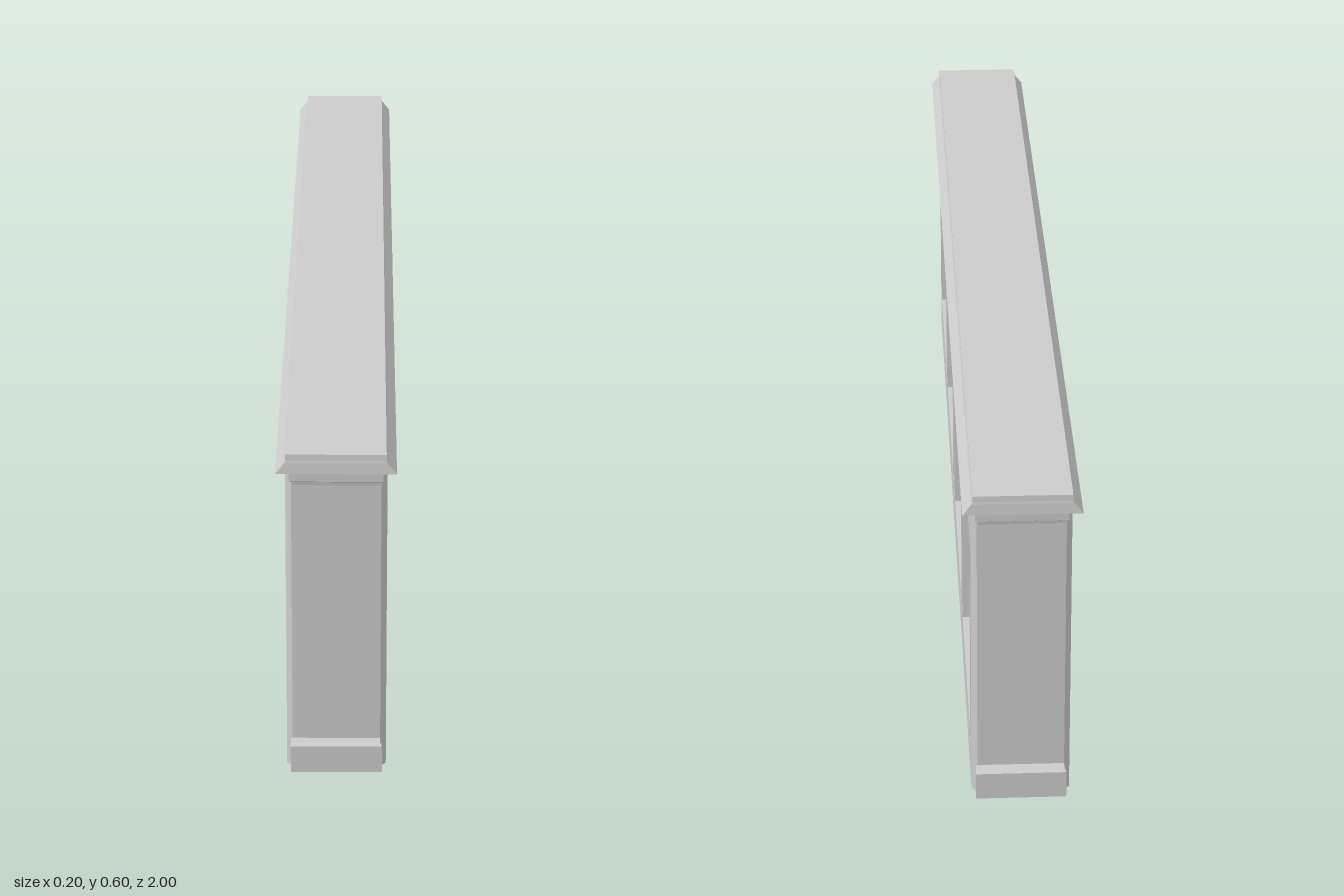
import * as THREE from 'three';

const H = 0.567;        // body height below the cornice
const FACE = 0.085;     // half thickness of the body
const RECESS = 0.026;   // depth of the panels
const GROOVE = 0.005;   // depth of the stile grooves
const SKIN_Z = 0.953;   // half length of the panelled faces
const BODY_Z = 0.965;   // half length of the body

const material = new THREE.MeshStandardMaterial({ color: 0xcccccc, flatShading: true });

function add(parent, name, geometry) {
  const mesh = new THREE.Mesh(geometry, material);
  mesh.name = name;
  parent.add(mesh);
  return mesh;
}

// Rectangle centred on u, from y0 to y1
function rectangle(u, width, y0, y1, Type = THREE.Path) {
  const a = u - width / 2, b = u + width / 2;
  const path = new Type();
  path.moveTo(a, y0);
  path.lineTo(b, y0);
  path.lineTo(b, y1);
  path.lineTo(a, y1);
  path.closePath();
  return path;
}

// Stacked rectangles [y, halfX, halfZ] joined into a closed solid
function stackedRectangles(levels) {
  const positions = [];
  const ring = ([y, x, z]) => [[-x, y, z], [x, y, z], [x, y, -z], [-x, y, -z]];
  const quad = (a, b, c, d) => positions.push(...a, ...b, ...c, ...a, ...c, ...d);
  for (let i = 0; i < levels.length - 1; i++) {
    const low = ring(levels[i]), high = ring(levels[i + 1]);
    for (let k = 0; k < 4; k++) {
      const n = (k + 1) % 4;
      quad(low[k], low[n], high[n], high[k]);
    }
  }
  const bottom = ring(levels[0]), top = ring(levels[levels.length - 1]);
  quad(bottom[3], bottom[2], bottom[1], bottom[0]);
  quad(top[0], top[1], top[2], top[3]);
  const geometry = new THREE.BufferGeometry();
  geometry.setAttribute('position', new THREE.Float32BufferAttribute(positions, 3));
  geometry.computeVertexNormals();
  return geometry;
}

// One layer of a long face, with openings cut through it
function faceLayer(openings, depth) {
  const shape = rectangle(0, SKIN_Z * 2, 0, H, THREE.Shape);
  shape.holes.push(...openings);
  return new THREE.ExtrudeGeometry(shape, { depth, bevelEnabled: false });
}

export function createModel() {
  const model = new THREE.Group();
  model.name = 'panelledCounter';

  // Solid core, whose sides are the backs of the panels
  const core = add(model, 'core',
    new THREE.BoxGeometry((FACE - RECESS) * 2, H, SKIN_Z * 2));
  core.position.y = H / 2;

  // Long faces: a framed layer with four panels, and a thin outer layer with grooves too
  const panels = () => [-0.705, -0.255, 0.255, 0.705].map(z => rectangle(z, 0.39, 0.08, 0.47));
  const grooves = () => [-0.93, -0.48, -0.033, 0.033, 0.48, 0.93]
    .map(z => rectangle(z, 0.036, 0.08, 0.47));
  for (const side of [1, -1]) {
    const face = new THREE.Group();
    face.name = side > 0 ? 'leftPanelledFace' : 'rightPanelledFace';
    face.rotation.y = side * Math.PI / 2;
    const frame = add(face, 'panelFrame', faceLayer(panels(), RECESS - GROOVE));
    frame.position.z = FACE - RECESS;
    const outer = add(face, 'groovedStiles', faceLayer([...panels(), ...grooves()], GROOVE));
    outer.position.z = FACE - GROOVE;
    model.add(face);
  }

  // Ends: chamfered end board, plinth and small moulding below the cornice
  for (const side of [1, -1]) {
    const end = new THREE.Group();
    end.name = side > 0 ? 'frontEnd' : 'backEnd';
    end.rotation.y = side > 0 ? 0 : Math.PI;

    const plan = new THREE.Shape([
      new THREE.Vector2(-FACE, -SKIN_Z),
      new THREE.Vector2(-FACE + 0.01, -BODY_Z),
      new THREE.Vector2(FACE - 0.01, -BODY_Z),
      new THREE.Vector2(FACE, -SKIN_Z),
    ]);
    const board = new THREE.ExtrudeGeometry(plan, { depth: H, bevelEnabled: false });
    board.rotateX(-Math.PI / 2);
    add(end, 'endBoard', board);

    const plinth = add(end, 'plinth', stackedRectangles([
      [0, 0.078, 0.015], [0.05, 0.078, 0.015], [0.055, 0.075, 0.01],
    ]));
    plinth.position.z = 0.971;

    const moulding = add(end, 'endMoulding', stackedRectangles([
      [0.536, 0.073, 0.006], [0.542, 0.073, 0.007], [0.546, 0.078, 0.014], [H, 0.078, 0.014],
    ]));
    moulding.position.z = 0.97;
    model.add(end);
  }

  // Cornice top with sloping sides
  add(model, 'corniceTop', stackedRectangles([
    [H, 0.1, 1], [0.586, 0.085, 0.998], [0.59, 0.083, 0.997], [0.6, 0.083, 0.996],
  ]));

  return model;
}
